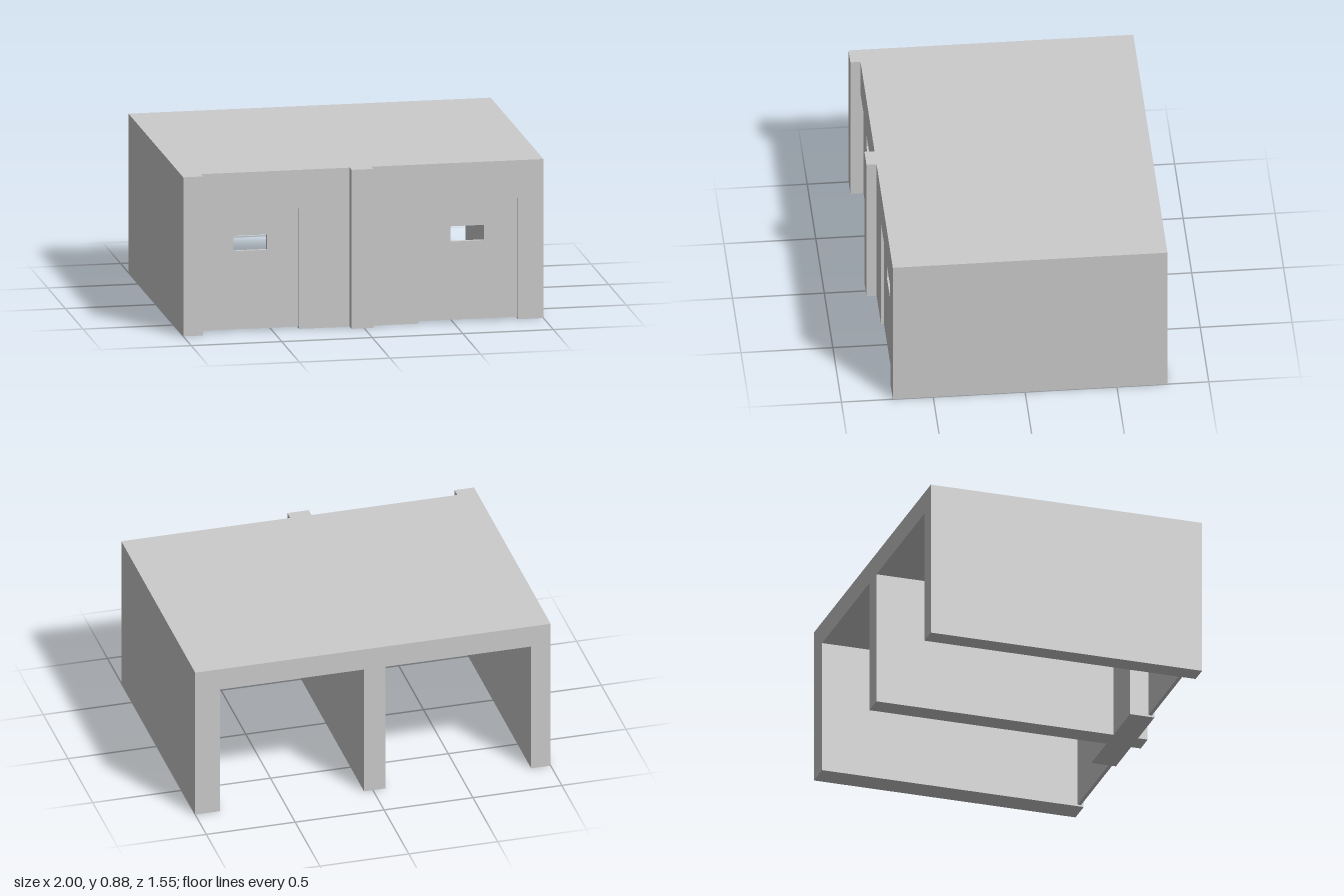
import * as THREE from 'three';

const HEIGHT = 0.885, BACK = -0.775, FRONT = 0.72, WALL_INNER = 0.58;

const material = new THREE.MeshStandardMaterial({ color: 0xcccccc, flatShading: true });

function extrude(name, shape, z0, z1) {
  const geometry = new THREE.ExtrudeGeometry(shape, { depth: z1 - z0, bevelEnabled: false });
  geometry.translate(0, 0, z0);
  const mesh = new THREE.Mesh(geometry, material);
  mesh.name = name;
  return mesh;
}

function rectPoints(x0, x1, y0, y1) {
  return [[x0, y0], [x1, y0], [x1, y1], [x0, y1]].map(([x, y]) => new THREE.Vector2(x, y));
}

// Full-width block outline with openings cut up from the ground: [x0, x1, top]
function blockWithOpenings(openings) {
  const points = [new THREE.Vector2(-1, 0)];
  for (const [x0, x1, top] of openings) {
    points.push(
      new THREE.Vector2(x0, 0), new THREE.Vector2(x0, top),
      new THREE.Vector2(x1, top), new THREE.Vector2(x1, 0)
    );
  }
  points.push(new THREE.Vector2(1, 0), new THREE.Vector2(1, HEIGHT), new THREE.Vector2(-1, HEIGHT));
  return new THREE.Shape(points);
}

export function createModel() {
  const group = new THREE.Group();
  group.name = 'doubleGarage';

  // Roof slab, side walls and dividing wall around two bays open at the back
  const bays = [[-0.89, -0.07, 0.76], [0.05, 0.86, 0.76]];
  group.add(extrude('roofAndWalls', blockWithOpenings(bays), BACK, WALL_INNER));

  // Thick front wall with a doorway into each bay
  const doorways = [[-0.89, -0.35, 0.67], [0.31, 0.86, 0.675]];
  group.add(extrude('frontWall', blockWithOpenings(doorways), WALL_INNER, FRONT));

  // Thin, slightly recessed doors, each with a slot window
  const windows = [[-0.71, -0.525], [0.49, 0.675]];
  doorways.forEach(([x0, x1, top], i) => {
    const door = new THREE.Shape(rectPoints(x0, x1, 0.01, top));
    door.holes.push(new THREE.Path(rectPoints(...windows[i], 0.445, 0.53)));
    group.add(extrude(i ? 'leftDoor' : 'rightDoor', door, 0.685, 0.705));
  });

  // Front pilasters at the right corner and on the dividing wall
  for (const [name, x0, x1] of [['cornerPillar', -1, -0.89], ['middlePillar', -0.07, 0.05]]) {
    group.add(extrude(name, new THREE.Shape(rectPoints(x0, x1, 0, HEIGHT)), FRONT, 0.775));
  }

  return group;
}
